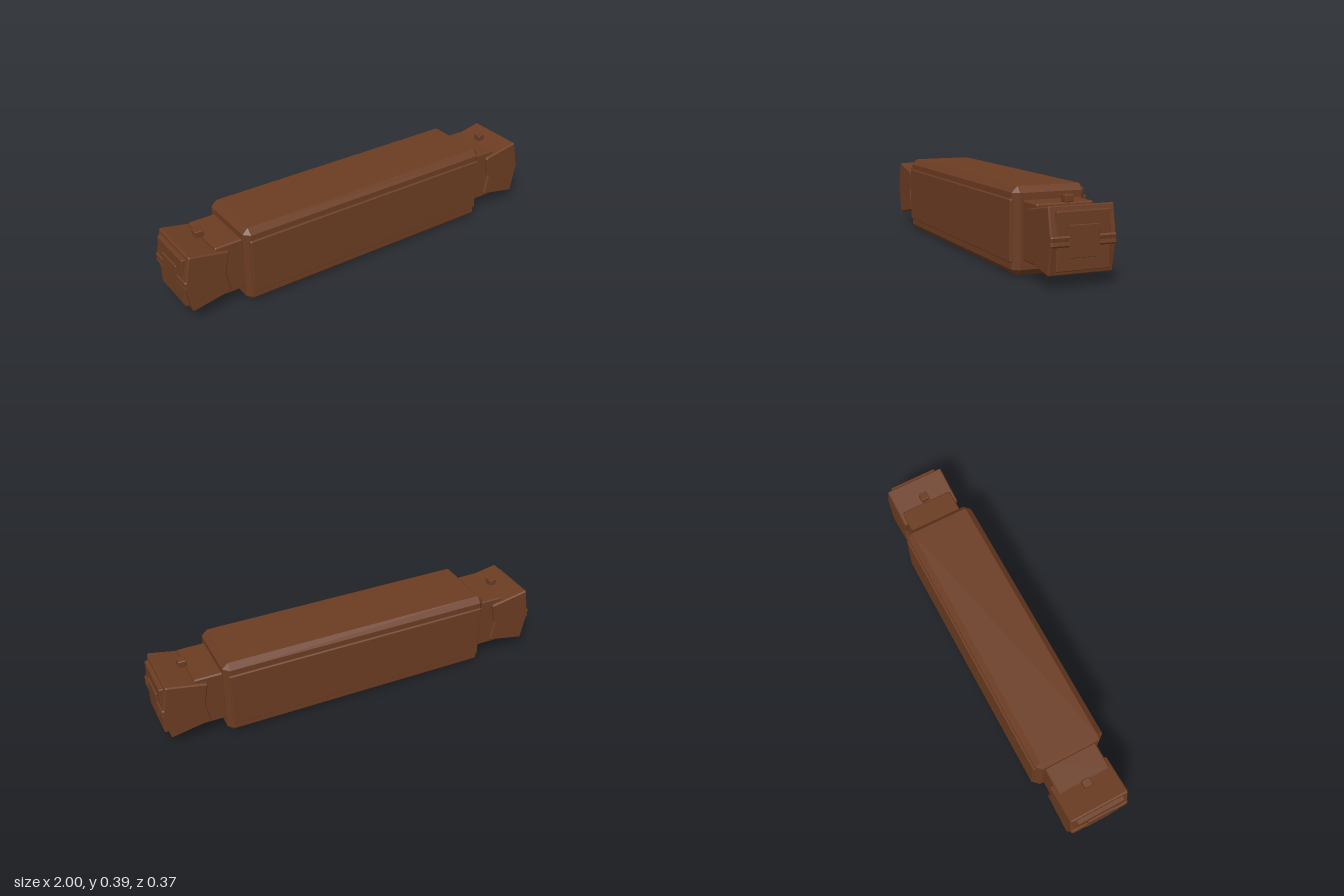
import * as THREE from 'three';
import { ConvexGeometry } from 'three/addons/geometries/ConvexGeometry.js';

const brown = new THREE.MeshStandardMaterial({ color: 0x6b3c22 });
brown.name = 'brown';

// Box with every edge cut at 45 degrees
function chamferBox(w, h, d, c) {
  const pts = [];
  for (const x of [-1, 1]) for (const y of [-1, 1]) for (const z of [-1, 1]) {
    for (let k = 0; k < 3; k++) {
      pts.push(new THREE.Vector3(
        x * (w / 2 - (k === 0 ? 0 : c)),
        y * (h / 2 - (k === 1 ? 0 : c)),
        z * (d / 2 - (k === 2 ? 0 : c))));
    }
  }
  return new ConvexGeometry(pts);
}

function addBlock(parent, name, size, pos, chamfer, tilt = 0) {
  const mesh = new THREE.Mesh(chamferBox(...size, chamfer), brown);
  mesh.name = name;
  mesh.position.set(...pos);
  mesh.rotation.z = tilt;
  parent.add(mesh);
}

// Neck, two tilted jaw blocks, end plates and top stud, pointing along +x
function createEnd(name) {
  const end = new THREE.Group();
  end.name = name;
  const tilt = THREE.MathUtils.degToRad(11);
  addBlock(end, 'neck', [0.17, 0.266, 0.272], [0.745, 0.202, 0], 0.006);
  addBlock(end, 'upperJaw', [0.202, 0.172, 0.306], [0.885, 0.243, 0], 0.006, tilt);
  addBlock(end, 'lowerJaw', [0.202, 0.172, 0.306], [0.885, 0.157, 0], 0.006, -tilt);
  addBlock(end, 'endPlate', [0.024, 0.25, 0.25], [0.98, 0.2, 0], 0.003);
  addBlock(end, 'endBoss', [0.03, 0.138, 0.14], [0.985, 0.199, 0], 0.002);
  addBlock(end, 'topStud', [0.04, 0.032, 0.043], [0.846, 0.356, 0], 0.003);
  return end;
}

export function createModel() {
  const model = new THREE.Group();
  model.name = 'beam';

  // Main body with a raised panel on each long side
  addBlock(model, 'body', [1.394, 0.394, 0.356], [0, 0.197, 0], 0.028);
  for (const s of [-1, 1]) {
    addBlock(model, s > 0 ? 'frontPanel' : 'backPanel', [1.35, 0.28, 0.02], [0, 0.199, s * 0.177], 0.005);
  }

  // Matching ends
  const rightEnd = createEnd('rightEnd');
  rightEnd.rotation.y = Math.PI;
  model.add(createEnd('leftEnd'), rightEnd);
  return model;
}
